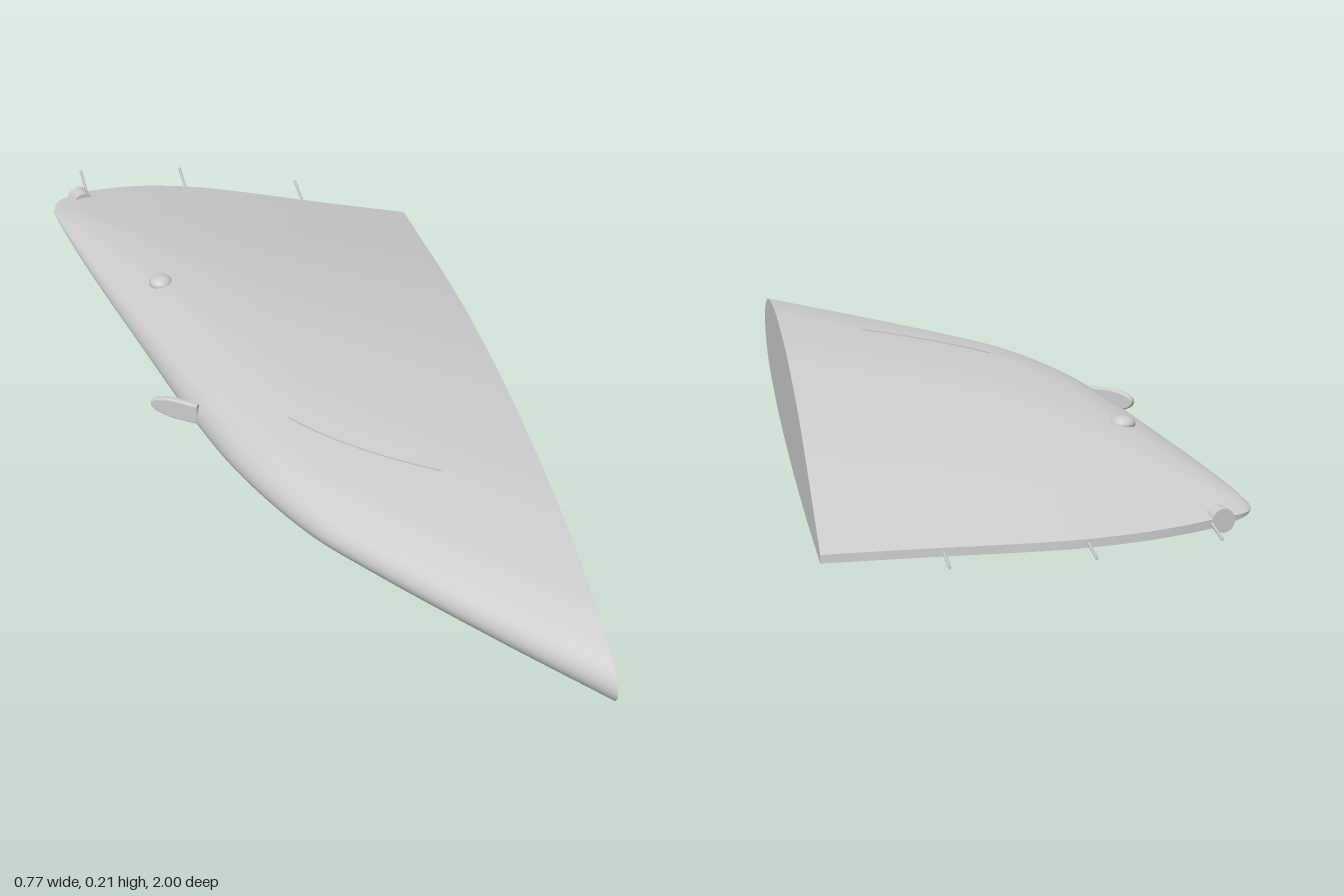
import * as THREE from 'three';

const grey = new THREE.MeshStandardMaterial({ color: 0xcccccc });
const thin = new THREE.MeshStandardMaterial({ color: 0xcccccc, side: THREE.DoubleSide });

// Planform stations from root to tip: x, leading edge z, trailing edge z
const planform = new THREE.CatmullRomCurve3([
  [0.385, 0.995, -0.785], [0.206, 0.78, -0.832], [0.03, 0.556, -0.882], [-0.063, 0.423, -0.903],
  [-0.16, 0.21, -0.91], [-0.217, 0.016, -0.906], [-0.286, -0.29, -0.892], [-0.34, -0.54, -0.873],
  [-0.372, -0.71, -0.85], [-0.385, -0.8, -0.817],
].map(p => new THREE.Vector3(...p)));

// Aerofoil: chord fraction, offset from the chord line; top trailing edge, nose, bottom trailing edge
const aerofoil = new THREE.SplineCurve([
  [1, 0], [0.9, 0.032], [0.787, 0.068], [0.674, 0.098], [0.562, 0.116], [0.45, 0.126], [0.337, 0.1255],
  [0.225, 0.116], [0.112, 0.091], [0.056, 0.068], [0.014, 0.035], [0, 0], [0.014, -0.031], [0.056, -0.057],
  [0.112, -0.07], [0.225, -0.08], [0.337, -0.08], [0.45, -0.074], [0.562, -0.065], [0.674, -0.052],
  [0.787, -0.037], [0.9, -0.018], [1, 0],
].map(p => new THREE.Vector2(...p)));

const N = 72, M = 64;
const profile = aerofoil.getPoints(N);

// Point on the wing skin for a station and an aerofoil point
function skinPoint(st, t, off, sign) {
  const r = (st.y - st.z) / 1.78;
  const span = (0.385 - st.x) / 0.77;
  const chordY = THREE.MathUtils.lerp(0.1 + 0.03 * span, 0.048 + 0.08 * span, t);
  const edge = 0.008 * Math.min(1, r * 4) * t * t * sign;
  const y = chordY + off * (off > 0 ? r : Math.pow(r, 1.3)) + edge;
  return new THREE.Vector3(st.x, y, THREE.MathUtils.lerp(st.y, st.z, t));
}

// Height of the upper skin at x, z
function topPoint(x, z, lift) {
  let a = 0, b = 1;
  for (let k = 0; k < 30; k++) {
    const m = (a + b) / 2;
    if (planform.getPoint(m).x > x) a = m; else b = m;
  }
  const st = planform.getPoint(a);
  const t = (st.y - z) / (st.y - st.z);
  let j = 0;
  while (j < N / 2 - 1 && profile[j + 1].x > t) j++;
  const p = profile[j], q = profile[j + 1];
  const off = THREE.MathUtils.lerp(p.y, q.y, (t - p.x) / (q.x - p.x));
  const v = skinPoint(st, t, off, 1);
  v.y += lift;
  return v;
}

// Surface from rows of points
function grid(rows) {
  const w = rows[0].length, index = [];
  for (let i = 0; i < rows.length - 1; i++)
    for (let j = 0; j < w - 1; j++) {
      const a = i * w + j, b = a + w;
      index.push(a, b, a + 1, b, b + 1, a + 1);
    }
  const g = new THREE.BufferGeometry().setFromPoints(rows.flat());
  g.setIndex(index);
  g.computeVertexNormals();
  return g;
}

export function createModel() {
  const model = new THREE.Group();
  const add = (name, geometry, material = grey) => {
    const mesh = new THREE.Mesh(geometry, material);
    mesh.name = name;
    model.add(mesh);
    return mesh;
  };

  // Wing skin, blunt trailing edge and end caps
  const sections = planform.getPoints(M).map(st =>
    profile.map((p, j) => skinPoint(st, p.x, p.y, j < N / 2 ? 1 : -1)));
  add('wingSkin', grid(sections));
  add('trailingEdge', grid(sections.map(s => [s[N], s[0]])));
  const cap = s => [s.slice(N / 2).reverse(), s.slice(0, N / 2 + 1)];
  add('rootCap', grid(cap(sections[0])));
  add('tipCap', grid(cap(sections[M]).reverse()));

  // Slim curved strip lying on the upper skin
  const path = new THREE.QuadraticBezierCurve(
    new THREE.Vector2(-0.04, 0.15), new THREE.Vector2(0.05, 0.28), new THREE.Vector2(0.205, 0.385));
  const rows = path.getPoints(24).map((p, i) => {
    const d = path.getTangent(i / 24);
    const at = (side, lift) => topPoint(p.x - d.y * side, p.y + d.x * side, lift);
    return [at(-0.018, -0.002), at(-0.018, 0.003), at(0.018, 0.003), at(0.018, -0.002)];
  });
  add('upperStrip', grid(rows).toNonIndexed(), thin).geometry.computeVertexNormals();

  // Dome on the upper skin
  const dome = add('dome', new THREE.SphereGeometry(0.024, 24, 16));
  dome.position.copy(topPoint(-0.217, -0.4, 0));
  dome.scale.y = 0.6;

  // Bullet shaped fin on the leading edge
  const fin = new THREE.Shape();
  fin.moveTo(0.02, 0.022);
  fin.lineTo(-0.03, 0.022);
  fin.bezierCurveTo(-0.07, 0.02, -0.083, 0.01, -0.083, 0);
  fin.bezierCurveTo(-0.083, -0.01, -0.07, -0.02, -0.03, -0.022);
  fin.lineTo(0.02, -0.022);
  const finMesh = add('leadingEdgeFin', new THREE.ExtrudeGeometry(fin, {
    depth: 0.006, bevelEnabled: true, bevelSize: 0.004, bevelThickness: 0.004, bevelOffset: -0.004, curveSegments: 12,
  }));
  finMesh.position.set(-0.225, 0.136, 0.008);
  finMesh.rotation.y = -0.62;

  // Short round lamp through the tip
  const lamp = add('tipLamp', new THREE.CylinderGeometry(0.022, 0.022, 0.034, 20).rotateX(Math.PI / 2));
  lamp.position.set(-0.32, 0.123, -0.865);
  lamp.rotation.y = 0.25;

  // Thin rods behind the trailing edge
  for (const [x, y, z] of [[-0.302, 0.12, -0.99], [-0.08, 0.096, -1], [0.17, 0.07, -0.94]]) {
    const rod = add('trailingRod', new THREE.CylinderGeometry(0.003, 0.003, 0.12, 8).rotateX(Math.PI / 2));
    rod.position.set(x, y, z + 0.06);
  }
  return model;
}
